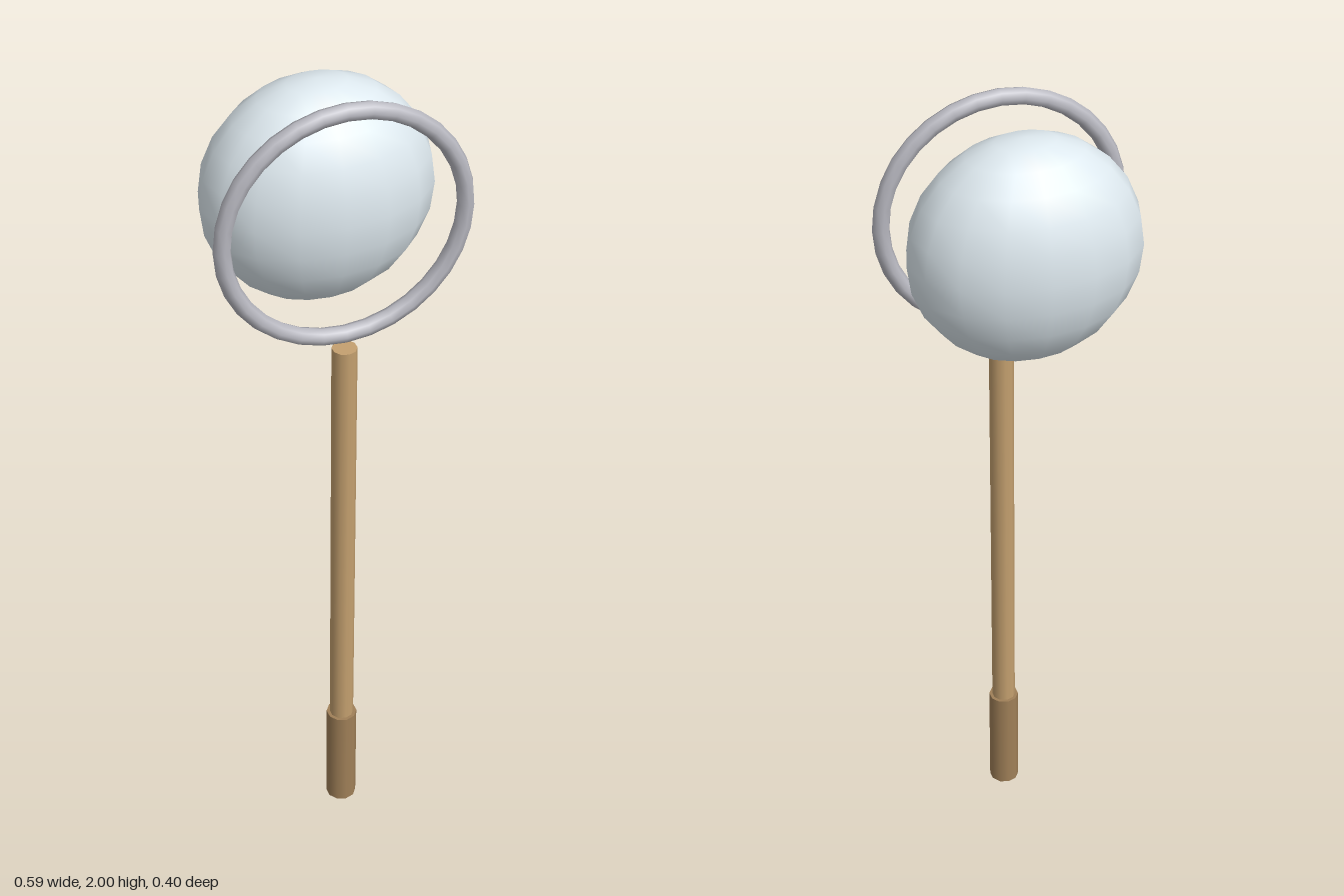
import * as THREE from 'three';

const HOOP_Y = 1.704;
const HOOP_Z = 0.161;

export function createModel() {
  const model = new THREE.Group();

  const add = (name, geometry, color, x, y, z) => {
    const mesh = new THREE.Mesh(geometry, new THREE.MeshStandardMaterial({ color }));
    mesh.name = name;
    mesh.position.set(x, y, z);
    model.add(mesh);
    return mesh;
  };

  // Wooden pole with a thicker grip at its foot
  add('pole', new THREE.CylinderGeometry(0.029, 0.029, 1.11, 10), 0xc4a06f, 0, 0.835, HOOP_Z);
  add('grip', new THREE.CylinderGeometry(0.037, 0.037, 0.28, 10), 0xa08058, 0, 0.14, HOOP_Z);

  // Upright hoop above the pole
  add('hoop', new THREE.TorusGeometry(0.277, 0.02, 8, 32), 0xb8b8c0, 0, HOOP_Y, HOOP_Z);

  // Rounded bag bulging out behind the hoop, flattened front to back
  const bag = new THREE.SphereGeometry(1, 16, 12);
  bag.scale(0.269, 0.267, 0.187);
  add('netBag', bag, 0xdde8ee, 0, HOOP_Y, -0.013);

  return model;
}
